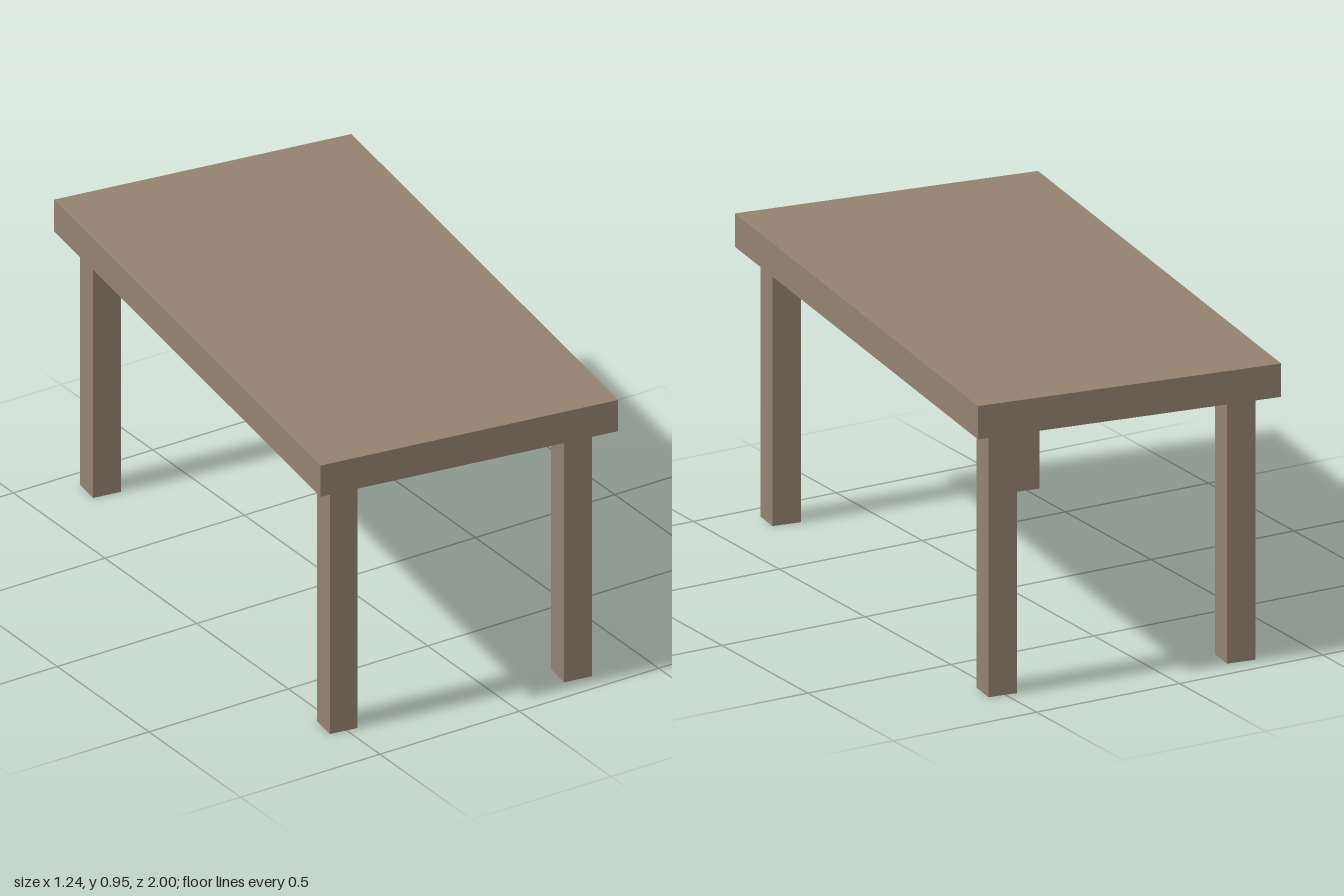
import * as THREE from 'three';

export function createModel() {
  const model = new THREE.Group();
  model.name = 'table';
  const wood = new THREE.MeshStandardMaterial({ color: 0x948270, flatShading: true });

  const WIDTH = 0.986, LENGTH = 1.879;
  const LEG_HEIGHT = 0.847, TOP_THICKNESS = 0.106, LEG_SIZE = 0.092;

  const addBox = (name, w, h, d, x, y, z) => {
    const mesh = new THREE.Mesh(new THREE.BoxGeometry(w, h, d), wood);
    mesh.name = name;
    mesh.position.set(x, y, z);
    model.add(mesh);
  };

  // Slab top
  addBox('tabletop', WIDTH, TOP_THICKNESS, LENGTH, 0, LEG_HEIGHT + TOP_THICKNESS / 2, 0);

  // Four square legs, inset from the corners
  for (const [sideX, nameX] of [[1, 'Left'], [-1, 'Right']]) {
    for (const [sideZ, nameZ] of [[1, 'front'], [-1, 'back']]) {
      addBox(nameZ + nameX + 'Leg', LEG_SIZE, LEG_HEIGHT, LEG_SIZE,
        sideX * 0.388, LEG_HEIGHT / 2, sideZ * 0.834);
    }
  }

  // The whole table stands slightly turned
  model.rotation.y = -0.142;
  return model;
}
